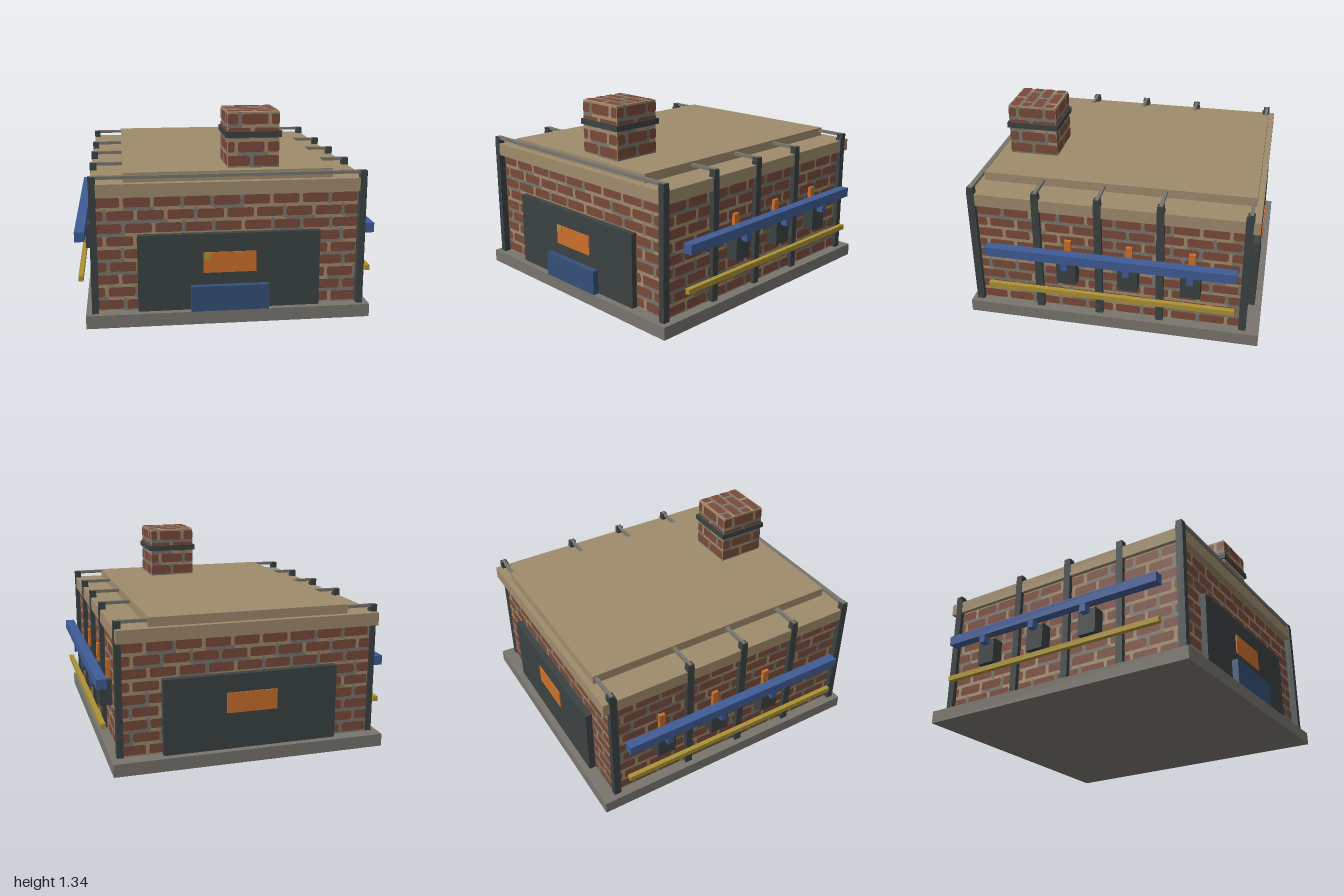
import * as THREE from 'three';
import { mergeGeometries } from 'three/addons/utils/BufferGeometryUtils.js';

function material(name, color) {
  const m = new THREE.MeshStandardMaterial({ color });
  m.name = name;
  return m;
}

export function createModel() {
  const group = new THREE.Group();
  const tan = material('tan plaster', 0x9f8b6b);
  const brick = material('red brick', 0x7a4a3a);
  const grey = material('grey stone', 0x78756d);
  const dark = material('dark iron', 0x3b4242);
  const blue = material('blue pipe', 0x3f5c96);
  const navy = material('dark blue steel', 0x344f77);
  const orange = material('orange glow', 0xcb6f2c);
  const yellow = material('yellow pipe', 0xab9234);

  // Box given by its low and high limits on each axis
  function box(name, mat, x0, x1, y0, y1, z0, z1, parent = group) {
    const mesh = new THREE.Mesh(new THREE.BoxGeometry(x1 - x0, y1 - y0, z1 - z0), mat);
    mesh.position.set((x0 + x1) / 2, (y0 + y1) / 2, (z0 + z1) / 2);
    mesh.name = name;
    parent.add(mesh);
    return mesh;
  }

  let seed = 7;
  const random = () => (seed = (seed * 16807) % 2147483647) / 2147483647;

  // Flat tile with clipped corners
  function tile(x0, x1, y0, y1, z, cut) {
    const s = new THREE.Shape();
    const c = Math.min(cut, (x1 - x0) / 3);
    s.moveTo(x0 + c, y0);
    s.lineTo(x1 - c, y0);
    if (c) s.lineTo(x1, y0 + c);
    s.lineTo(x1, y1 - c);
    if (c) s.lineTo(x1 - c, y1);
    s.lineTo(x0 + c, y1);
    if (c) s.lineTo(x0, y1 - c);
    s.lineTo(x0, y0 + c);
    return new THREE.ShapeGeometry(s).translate(0, 0, z);
  }

  // Staggered bricks and patches of grey mortar, centred on x = 0, rising from y = 0
  function brickwork(name, w, h, rows) {
    const bricks = [], mortar = [];
    const rowH = h / rows, step = 0.19, gap = 0.022;
    const clip = (x) => Math.max(-w / 2, Math.min(w / 2, x));
    for (let r = 0; r < rows; r++) {
      const y = r * rowH;
      const start = -w / 2 - (r % 2 ? step / 2 : 0) - random() * 0.03;
      for (let x = start; x < w / 2; x += step) {
        const a = clip(x), b = clip(x + step - gap), c = clip(x + step);
        if (b - a > 0.015) bricks.push(tile(a, b, y + gap / 2, y + rowH - gap / 2, 0.004, 0.009));
        if (c - a > 0.01 && random() < 0.55)
          mortar.push(tile(a, c, Math.max(0, y - gap / 2), y + gap / 2, 0.002, 0));
        if (c - b > 0.005 && random() < 0.5) mortar.push(tile(b, c, y, y + rowH, 0.002, 0));
      }
    }
    const face = new THREE.Group();
    face.name = name;
    const parts = [['bricks', bricks, brick], ['greyMortar', mortar, grey]];
    for (const [partName, list, mat] of parts) {
      if (!list.length) continue;
      const mesh = new THREE.Mesh(mergeGeometries(list), mat);
      mesh.name = partName;
      face.add(mesh);
    }
    group.add(face);
    return face;
  }

  // Plaster core with brickwork on its four sides
  function brickBlock(name, x0, x1, y0, y1, z0, z1, rows) {
    box(name + 'Core', tan, x0, x1, y0, y1, z0, z1);
    const cx = (x0 + x1) / 2, cz = (z0 + z1) / 2, h = y1 - y0;
    const sides = [['Front', x1 - x0, cx, z1, 0], ['Back', x1 - x0, cx, z0, Math.PI],
      ['Left', z1 - z0, x1, cz, Math.PI / 2], ['Right', z1 - z0, x0, cz, -Math.PI / 2]];
    for (const [side, w, x, z, turn] of sides) {
      const face = brickwork(name + side, w, h, rows);
      face.position.set(x, y0, z);
      face.rotation.y = turn;
    }
  }

  // Plinth, walls and roof
  box('plinth', grey, -0.915, 0.915, 0, 0.085, -1, 1);
  brickBlock('wall', -0.845, 0.845, 0.085, 0.835, -0.905, 0.917, 9);
  box('roofEdge', tan, -0.873, 0.873, 0.835, 0.92, -0.957, 0.963);
  box('roofSlab', tan, -0.665, 0.665, 0.92, 0.98, -0.917, 0.915);

  // Chimney with an iron strap
  brickBlock('chimney', 0, 0.33, 0.98, 1.335, 0.503, 0.837, 4);
  const chimneyTop = brickwork('chimneyTop', 0.33, 0.334, 4);
  chimneyTop.rotation.x = -Math.PI / 2;
  chimneyTop.position.set(0.165, 1.335, 0.837);
  box('chimneyStrap', dark, -0.015, 0.345, 1.175, 1.212, 0.487, 0.85);

  // Furnace doors with glowing windows
  box('frontDoor', dark, -0.585, 0.585, 0.085, 0.585, 0.9, 0.958);
  box('frontWindow', orange, -0.17, 0.17, 0.33, 0.465, 0.956, 0.965);
  box('windowGlint', yellow, -0.17, -0.122, 0.42, 0.465, 0.958, 0.967);
  box('frontStep', navy, -0.25, 0.25, 0.085, 0.25, 0.95, 1);
  box('backDoor', dark, -0.585, 0.585, 0.085, 0.585, -0.954, -0.89);
  box('backWindow', orange, -0.17, 0.17, 0.33, 0.465, -0.961, -0.952);

  // Iron posts tied across the roof by rods
  for (const z of [0.942, 0.503, 0.087, -0.328, -0.888]) {
    const rodZ = z === -0.888 ? -0.895 : z;
    const half = z === 0.942 ? 0.016 : 0.011;
    box('tieRod', grey, -0.87, 0.87, 0.95, 0.97, rodZ - half, rodZ + half);
    for (const s of [-1, 1]) {
      const x = s * 0.856;
      box('post', dark, x - 0.021, x + 0.021, 0.085, 0.94, z - 0.025, z + 0.025);
      box('postCap', dark, x - 0.022, x + 0.022, 0.92, 0.968, rodZ - 0.022, rodZ + 0.022);
    }
  }

  // Pipes and burners along both long sides
  for (const s of [-1, 1]) {
    const side = new THREE.Group();
    side.name = s > 0 ? 'leftBurners' : 'rightBurners';
    const put = (name, mat, a, b, ...rest) =>
      box(name, mat, Math.min(s * a, s * b), Math.max(s * a, s * b), ...rest, side);
    put('mainPipe', blue, 0.915, 0.98, 0.522, 0.587, -0.835, 0.835);
    put('gasPipe', yellow, 0.93, 0.962, 0.26, 0.295, -0.835, 0.835);
    for (const z of [0.295, -0.121, -0.538]) {
      put('burnerBox', dark, 0.84, 0.93, 0.335, 0.505, z - 0.066, z + 0.066);
      put('pipeBranch', blue, 0.925, 0.978, 0.47, 0.525, z - 0.022, z + 0.022);
      put('burnerFlame', orange, 0.84, 0.872, 0.5, 0.632, z - 0.022, z + 0.022);
    }
    group.add(side);
  }
  return group;
}
